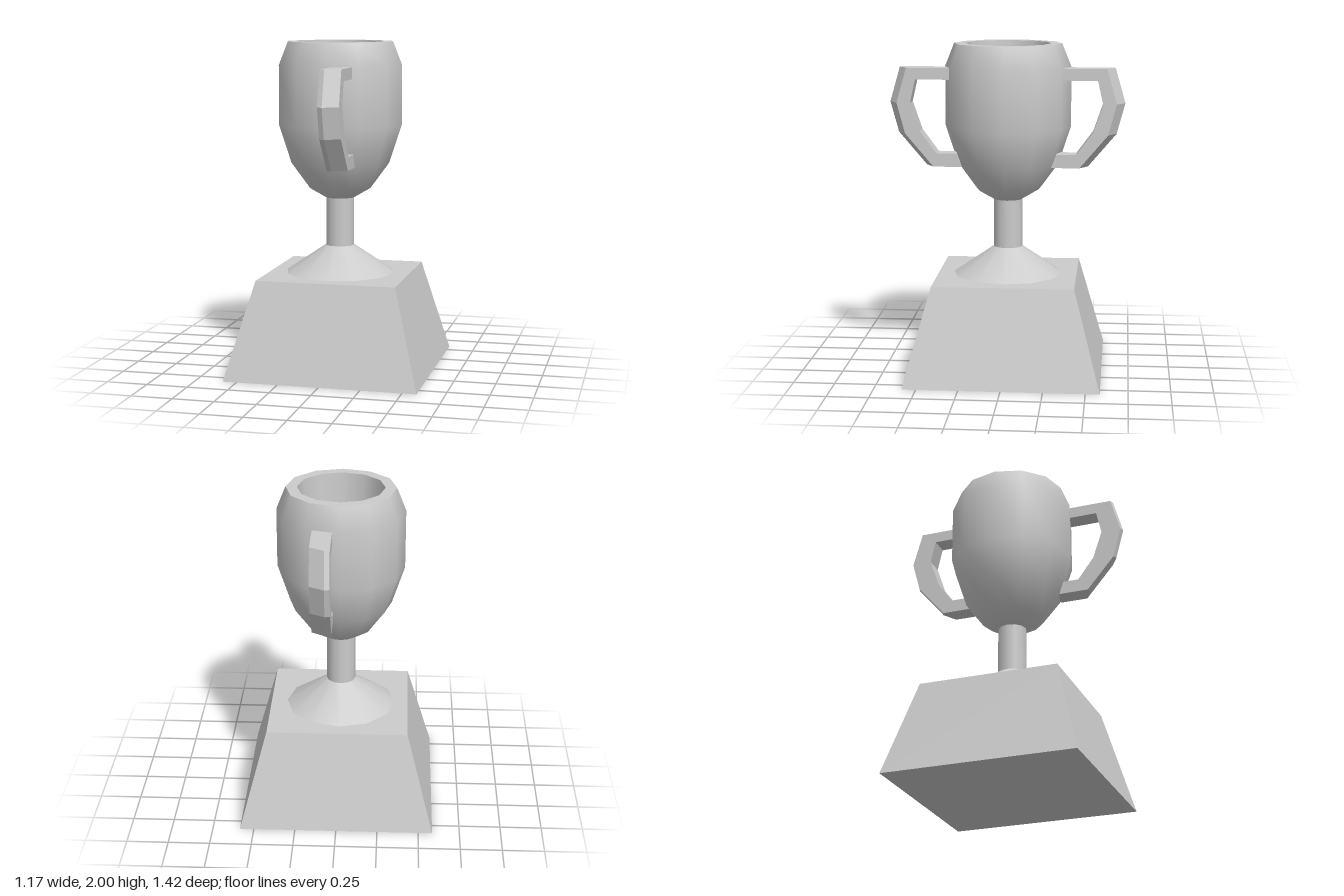
import * as THREE from 'three';

const smooth = new THREE.MeshStandardMaterial({ color: 0xcccccc });
const flat = new THREE.MeshStandardMaterial({ color: 0xcccccc, flatShading: true });
const SIDES = 12;

function add(parent, name, geometry, material) {
  const mesh = new THREE.Mesh(geometry, material);
  mesh.name = name;
  parent.add(mesh);
  return mesh;
}

// Lathe from [radius, height] pairs; separate lathes keep the edges between them sharp
function lathe(profile) {
  return new THREE.LatheGeometry(profile.map(([r, y]) => new THREE.Vector2(r, y)), SIDES);
}

// Five-sided handle section swept along stations; side = +1 front, -1 back
function handleGeometry(side) {
  const xL = 0.028, xM = 0.058, xR = 0.145;
  // inner z, inner y, outer z, outer y, chamfer depth on the +x edge
  const stations = [
    [0.335, 1.79, 0.335, 1.86, 0],
    [0.546, 1.79, 0.65, 1.86, 0.05],
    [0.578, 1.65, 0.71, 1.65, 0.05],
    [0.52, 1.48, 0.66, 1.465, 0.05],
    [0.42, 1.345, 0.49, 1.265, 0.05],
    [0.3, 1.345, 0.27, 1.265, 0],
  ];
  const rings = stations.map(([zi, yi, zo, yo, c]) => [
    [xL, yi, zi], [xR, yi, zi], [xR, yo, zo - c], [xM, yo, zo], [xL, yo, zo - c * 0.2],
  ]);
  const pos = [];
  const tri = (a, b, c) => {
    for (const p of side > 0 ? [a, b, c] : [a, c, b]) pos.push(p[0], p[1], p[2] * side);
  };
  for (let s = 0; s < rings.length - 1; s++) {
    const a = rings[s], b = rings[s + 1];
    for (let i = 0; i < 5; i++) {
      const j = (i + 1) % 5;
      tri(a[i], a[j], b[j]);
      tri(a[i], b[j], b[i]);
    }
  }
  // end caps
  const first = rings[0], last = rings[rings.length - 1];
  for (let i = 1; i < 4; i++) {
    tri(first[0], first[i + 1], first[i]);
    tri(last[0], last[i], last[i + 1]);
  }
  const g = new THREE.BufferGeometry();
  g.setAttribute('position', new THREE.Float32BufferAttribute(pos, 3));
  g.computeVertexNormals();
  return g;
}

export function createModel() {
  const model = new THREE.Group();
  model.name = 'trophy';

  // tapered square plinth
  const plinth = new THREE.CylinderGeometry(0.425 * Math.SQRT2, 0.585 * Math.SQRT2, 0.587, 4);
  plinth.rotateY(Math.PI / 4).translate(0, 0.2935, 0);
  add(model, 'plinth', plinth, flat);

  // turned parts, sharing one slightly offset axis
  const cup = new THREE.Group();
  cup.name = 'cup';
  cup.position.x = -0.008;
  model.add(cup);
  add(cup, 'foot', lathe([[0.335, 0.587], [0.088, 0.755]]), smooth);
  add(cup, 'stem', lathe([[0.088, 0.755], [0.088, 1.05]]), smooth);
  add(cup, 'bowl', lathe([
    [0.088, 1.05], [0.19, 1.11], [0.307, 1.27], [0.383, 1.5], [0.383, 1.86], [0.327, 2],
  ]), smooth);
  add(cup, 'rim', lathe([[0.327, 2], [0.26, 2]]), smooth);
  add(cup, 'innerWall', lathe([[0.26, 2], [0.22, 1.3]]), smooth);
  add(cup, 'innerFloor', lathe([[0.22, 1.3], [0, 1.3]]), smooth);

  // handles at front and back
  add(model, 'frontHandle', handleGeometry(1), flat);
  add(model, 'backHandle', handleGeometry(-1), flat);
  return model;
}
